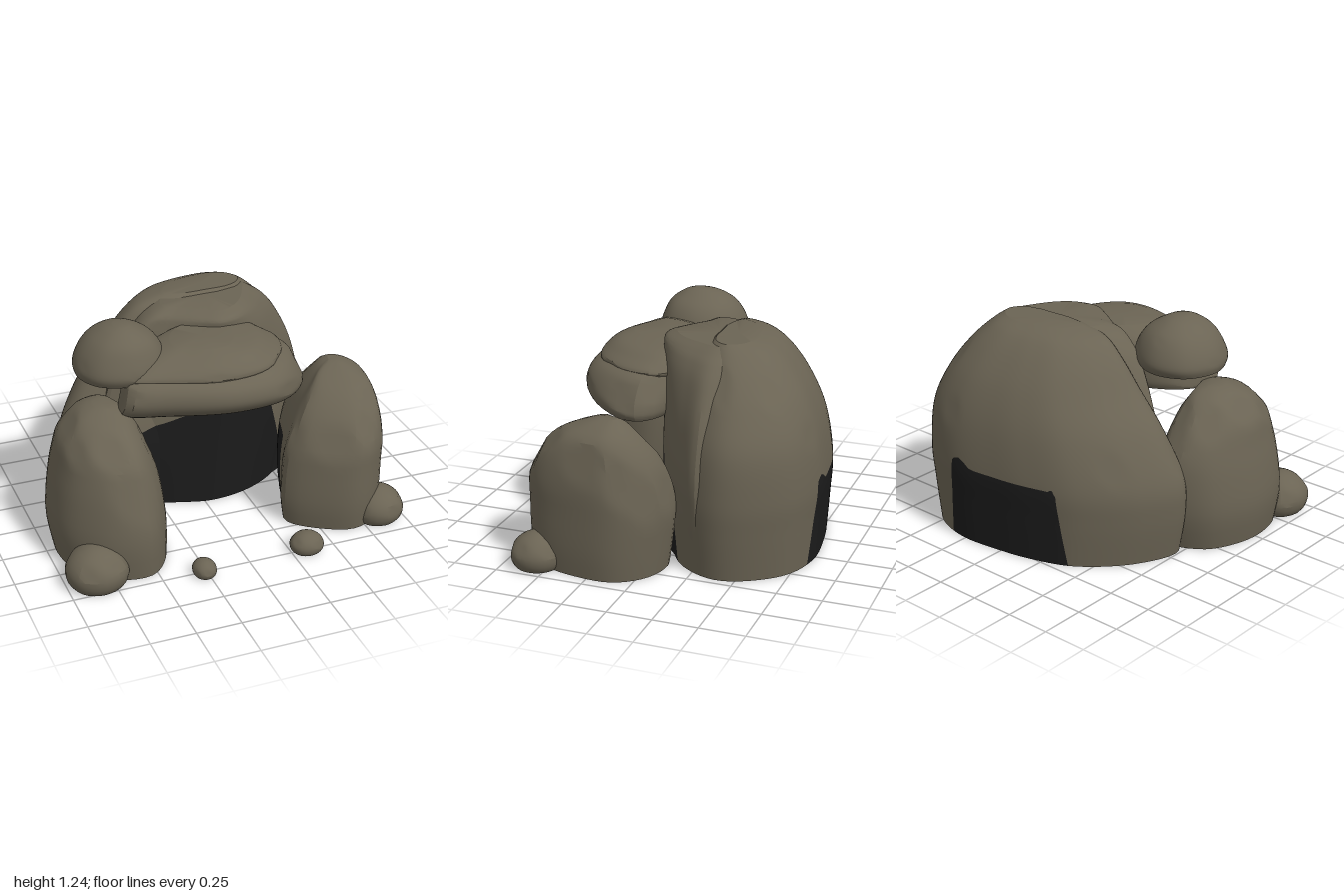
import * as THREE from 'three';
import { toCreasedNormals } from 'three/addons/utils/BufferGeometryUtils.js';

const stone = new THREE.MeshStandardMaterial({ color: 0x6b6454 });
stone.name = 'stone';
const dark = new THREE.MeshStandardMaterial({ color: 0x1b1b1b });
dark.name = 'caveDark';

function seeded(seed) {
  let s = seed * 7919 + 17;
  return () => ((s = (s * 16807) % 2147483647) / 2147483647);
}

// Part of a polygon where sign * field >= 0
function clip(poly, field, sign) {
  const out = [];
  poly.forEach((a, i) => {
    const b = poly[(i + 1) % poly.length];
    const fa = sign * field(a), fb = sign * field(b);
    if (fa >= 0) out.push(a);
    if (fa * fb < 0) out.push(a.clone().lerp(b, fa / (fa - fb)));
  });
  return out;
}

// Boulder: a plan outline [x, z] fitted to layers of [y, xMin, xMax, zMin, zMax],
// then chipped flat by seeded planes. paint.side and paint.base are fields, dark where positive.
function rock(name, plan, layers, { seed = 1, cuts = 7, chip = 0.95, cols = 48, rows = 24, tilt = 0, paint } = {}) {
  const curve = new THREE.CatmullRomCurve3(plan.map(([x, z]) => new THREE.Vector3(x, 0, z)), true);
  const ring = curve.getSpacedPoints(cols).slice(0, cols).map(p => new THREE.Vector2(p.x, p.z));
  if (THREE.ShapeUtils.area(ring) < 0) ring.reverse();
  const box = new THREE.Box2().setFromPoints(ring);
  const size = box.getSize(new THREE.Vector2());
  ring.forEach(p => p.sub(box.min).divide(size));

  const splines = [1, 2, 3, 4].map(k => new THREE.SplineCurve(layers.map(l => new THREE.Vector2(l[0], l[k]))));
  const pts = [];
  for (let j = 0; j <= rows; j++) {
    const s = splines.map(c => c.getPoint(j / rows));
    for (const p of ring) {
      const x = s[0].y + (s[1].y - s[0].y) * p.x;
      pts.push(new THREE.Vector3(x, s[0].x + tilt * x, s[2].y + (s[3].y - s[2].y) * p.y));
    }
  }

  // Flat chips
  const rnd = seeded(seed);
  const bounds = new THREE.Box3().setFromPoints(pts);
  const mid = bounds.getCenter(new THREE.Vector3());
  const floor = bounds.min.y;
  for (let c = 0; c < cuts; c++) {
    const a = (c + rnd() * 0.7) / cuts * Math.PI * 2;
    const n = new THREE.Vector3(Math.cos(a), 0.1 + rnd() * 0.8, Math.sin(a)).normalize();
    const reach = p => n.dot(p) - n.dot(mid);
    const limit = Math.max(...pts.map(reach)) * chip;
    for (const p of pts) {
      const over = reach(p) - limit;
      if (over > 0) p.addScaledVector(n, -over);
      if (p.y < floor) p.y = floor;
    }
  }

  const lists = [[], []];
  const fan = (poly, list) => {
    for (let i = 2; i < poly.length; i++)
      for (const p of [poly[0], poly[i - 1], poly[i]]) list.push(p.x, p.y, p.z);
  };
  const tri = (poly, field) => {
    fan(field ? clip(poly, field, -1) : poly, lists[0]);
    if (field) fan(clip(poly, field, 1), lists[1]);
  };
  const at = (i, j) => pts[j * cols + (i % cols)];
  const centre = j => pts.slice(j * cols, (j + 1) * cols)
    .reduce((v, p) => v.add(p), new THREE.Vector3()).divideScalar(cols);
  const low = centre(0), high = centre(rows);
  for (let i = 0; i < cols; i++) {
    for (let j = 0; j < rows; j++) {
      tri([at(i, j), at(i, j + 1), at(i + 1, j + 1)], paint?.side);
      tri([at(i, j), at(i + 1, j + 1), at(i + 1, j)], paint?.side);
    }
    tri([high, at(i + 1, rows), at(i, rows)]);
    // Underside in steps, so that the colour edge stays true
    for (let k = 0; k < 8; k++) {
      const q = (m, t) => low.clone().lerp(at(m, 0), t / 8);
      tri([q(i, k), q(i, k + 1), q(i + 1, k + 1)], paint?.base);
      if (k) tri([q(i, k), q(i + 1, k + 1), q(i + 1, k)], paint?.base);
    }
  }
  let g = new THREE.BufferGeometry();
  g.setAttribute('position', new THREE.Float32BufferAttribute([...lists[0], ...lists[1]], 3));
  g = toCreasedNormals(g, 0.4);
  g.addGroup(0, lists[0].length / 3, 0);
  g.addGroup(lists[0].length / 3, lists[1].length / 3, 1);
  const mesh = new THREE.Mesh(g, paint ? [stone, dark] : stone);
  mesh.name = name;
  return mesh;
}

const roundPlan = [[1, 0], [0.75, 0.7], [0, 1], [-0.72, 0.72], [-1, 0], [-0.7, -0.75], [0, -1], [0.75, -0.65]];

// Small rounded stone on the ground
function pebble(name, x, z, w, h, d, seed) {
  const layers = [[0, 0.8], [0.15, 0.94], [0.4, 1], [0.65, 0.88], [0.85, 0.62], [0.97, 0.3], [1, 0.1]]
    .map(([t, s]) => [t * h, x - w * s, x + w * s, z - d * s, z + d * s]);
  return rock(name, roundPlan, layers, { seed, cuts: 6, chip: 0.95, cols: 28, rows: 14 });
}

// Height across x, read from a list of [x, y]
function heightAt(line, x) {
  for (let i = 1; i < line.length; i++) {
    const [x0, y0] = line[i - 1], [x1, y1] = line[i];
    if (x <= x1) return y0 + (y1 - y0) * (x - x0) / (x1 - x0);
  }
  return -1;
}
const mouth = [[-0.7, 0.38], [-0.39, 0.46], [-0.2, 0.52], [0, 0.6], [0.12, 0.72], [0.18, 0.68], [0.25, 0.69], [0.42, 0.58], [0.52, 0.25], [0.6, -0.2]];
const rear = [[-0.45, 0.41], [-0.37, 0.47], [-0.31, 0.44], [0.18, 0.45], [0.25, 0.5], [0.4, 0.45]];
const caveDark = {
  side: p => Math.max(
    Math.min(p.z + 0.15, heightAt(mouth, p.x) - p.y),
    Math.min(-0.55 - p.z, p.x + 0.39 - 0.1 * p.y, 0.36 - 0.1 * p.y - p.x, heightAt(rear, p.x) - p.y)),
  base: p => Math.min(p.x + 0.35, 0.39 + 0.05 * p.z - p.x),
};
// Inner rear faces of the pillars
const pillarDark = {
  side: p => Math.min(0.2 - p.z, 0.48 - Math.abs(p.x), 0.42 - p.y),
  base: p => Math.min(0.27 - p.z, 0.46 - Math.abs(p.x)),
};

export function createModel() {
  const group = new THREE.Group();
  group.name = 'rockCave';

  // Main mass: rounded boulder behind, upright slab in front
  group.add(rock('backBoulder',
    [[-0.78, -0.15], [-0.5, 0], [0, 0], [0.4, -0.03], [0.62, -0.15], [0.74, -0.36], [0.72, -0.52],
      [0.55, -0.75], [0.3, -0.84], [0, -0.82], [-0.2, -0.78], [-0.45, -0.68], [-0.7, -0.42]],
    [[0, -0.74, 0.71, -0.82, 0], [0.25, -0.78, 0.74, -0.835, 0], [0.45, -0.77, 0.75, -0.845, -0.01],
      [0.7, -0.65, 0.72, -0.815, -0.06], [0.9, -0.5, 0.62, -0.745, -0.1], [1.05, -0.39, 0.51, -0.645, -0.14],
      [1.15, -0.28, 0.41, -0.54, -0.17], [1.195, -0.12, 0.35, -0.44, -0.22]],
    { seed: 4, cuts: 6, chip: 0.99, cols: 110, rows: 46, paint: caveDark }));
  group.add(rock('frontSlab',
    [[-0.55, -0.1], [-0.35, -0.04], [-0.1, 0.05], [0.09, 0.1], [0.3, 0.07], [0.48, -0.02], [0.62, -0.15], [0.72, -0.29],
      [0.62, -0.39], [0.25, -0.4], [-0.1, -0.38], [-0.45, -0.28]],
    [[0, -0.6, 0.66, -0.4, 0.08], [0.3, -0.6, 0.71, -0.4, 0.08], [0.55, -0.56, 0.72, -0.4, 0.08],
      [0.8, -0.49, 0.66, -0.4, 0.08], [1, -0.4, 0.56, -0.4, 0.1], [1.1, -0.32, 0.48, -0.4, 0.105],
      [1.15, -0.25, 0.41, -0.4, 0.1], [1.18, -0.17, 0.36, -0.39, 0.03]],
    { cuts: 0, cols: 110, rows: 46, paint: caveDark }));

  // Pillars on both sides of the mouth
  group.add(rock('leftPillar',
    [[0.6, -0.13], [0.8, -0.1], [0.94, 0.06], [0.95, 0.28], [0.87, 0.55], [0.72, 0.66], [0.58, 0.63],
      [0.36, 0.44], [0.42, 0.25], [0.5, 0]],
    [[0, 0.35, 0.94, -0.1, 0.65], [0.15, 0.33, 0.955, -0.12, 0.67], [0.35, 0.34, 0.96, -0.14, 0.67],
      [0.5, 0.37, 0.96, -0.12, 0.66], [0.65, 0.44, 0.94, -0.06, 0.59], [0.76, 0.53, 0.9, 0.02, 0.48],
      [0.82, 0.61, 0.83, 0.09, 0.34], [0.85, 0.69, 0.76, 0.14, 0.24]],
    { seed: 3, cuts: 10, chip: 0.965, paint: pillarDark }));
  group.add(rock('rightPillar',
    [[-0.65, -0.18], [-0.85, -0.1], [-0.95, 0.1], [-0.97, 0.3], [-0.92, 0.5], [-0.75, 0.67],
      [-0.57, 0.69], [-0.43, 0.47], [-0.43, 0.3], [-0.5, 0]],
    [[0, -0.95, -0.37, -0.14, 0.69], [0.2, -0.98, -0.37, -0.18, 0.71], [0.4, -0.96, -0.39, -0.18, 0.69],
      [0.55, -0.93, -0.42, -0.15, 0.65], [0.68, -0.9, -0.46, -0.07, 0.58], [0.78, -0.83, -0.51, 0.02, 0.47],
      [0.83, -0.76, -0.55, 0.1, 0.36], [0.85, -0.7, -0.62, 0.17, 0.3]],
    { seed: 8, cuts: 10, chip: 0.965, paint: pillarDark }));

  // Lintel resting on the pillars, in two strata
  const lintelPlan = [[-0.58, 0.36], [-0.35, 0.46], [0, 0.55], [0.3, 0.5], [0.48, 0.32], [0.53, 0.1],
    [0.4, -0.03], [-0.2, -0.04], [-0.5, 0.13]];
  group.add(rock('lintel', lintelPlan,
    [[0.775, -0.56, 0.52, -0.01, 0.46], [0.81, -0.585, 0.535, -0.03, 0.52], [0.87, -0.58, 0.52, -0.04, 0.56],
      [0.94, -0.56, 0.48, -0.04, 0.55], [0.99, -0.51, 0.44, -0.03, 0.5], [1.02, -0.4, 0.38, 0, 0.42]],
    { seed: 5, cuts: 7, chip: 0.975, tilt: -0.025 }));
  group.add(rock('lintelTop', lintelPlan,
    [[0.95, -0.5, 0.36, -0.06, 0.46], [1.0, -0.54, 0.41, -0.07, 0.5], [1.05, -0.46, 0.34, -0.07, 0.47],
      [1.09, -0.34, 0.26, -0.05, 0.41], [1.115, -0.24, 0.12, -0.01, 0.34]],
    { seed: 12, cuts: 5, chip: 0.98 }));

  // Round stone on top
  group.add(rock('topStone', roundPlan,
    [[0.97, -0.75, -0.28, -0.13, 0.34], [1.02, -0.76, -0.262, -0.155, 0.36], [1.1, -0.73, -0.28, -0.13, 0.335],
      [1.17, -0.675, -0.33, -0.08, 0.295], [1.22, -0.6, -0.41, 0, 0.225], [1.24, -0.54, -0.46, 0.07, 0.17]],
    { seed: 6, cuts: 6, chip: 0.99 }));

  // Loose stones on the ground
  group.add(pebble('rightStone', -0.83, 0.63, 0.172, 0.225, 0.17, 2));
  group.add(pebble('leftStone', 0.855, 0.565, 0.148, 0.195, 0.15, 7));
  group.add(pebble('rightPebble', -0.27, 0.765, 0.065, 0.09, 0.077, 11));
  group.add(pebble('leftPebble', 0.34, 0.745, 0.095, 0.112, 0.088, 13));
  return group;
}
